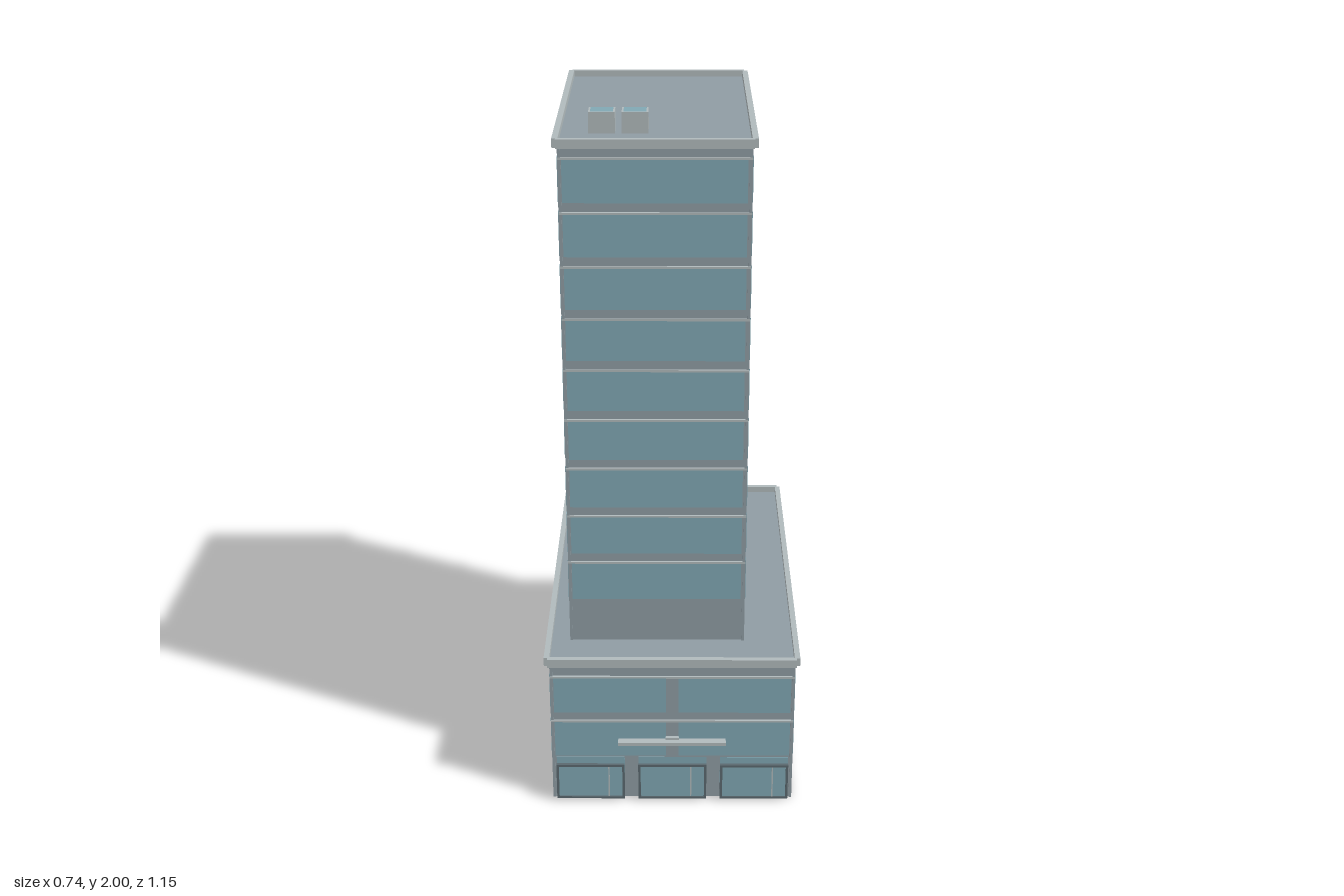
import * as THREE from 'three';

const material = (color) => new THREE.MeshStandardMaterial({ color });

export function createModel() {
  const model = new THREE.Group();
  const wall = material(0x8f9ca3);
  const glass = material(0x80a7b3);
  const trim = material(0xb0b9bb);
  const dark = material(0x5a686e);

  // Box given by its lower and upper corners
  function box(name, mat, x0, x1, y0, y1, z0, z1, parent = model) {
    const mesh = new THREE.Mesh(new THREE.BoxGeometry(x1 - x0, y1 - y0, z1 - z0), mat);
    mesh.position.set((x0 + x1) / 2, (y0 + y1) / 2, (z0 + z1) / 2);
    mesh.name = name;
    parent.add(mesh);
    return mesh;
  }

  function group(name) {
    const g = new THREE.Group();
    g.name = name;
    model.add(g);
    return g;
  }

  // Four roof-edge strips; the corners stay slightly notched
  function parapet(name, x0, x1, y0, y1, z0, z1) {
    const g = group(name);
    const t = 0.016, n = 0.01;
    for (const x of [x0, x1 - t]) box('parapetSide', trim, x, x + t, y0, y1, z0 + n, z1 - n, g);
    for (const z of [z0, z1 - t]) box('parapetEnd', trim, x0 + n, x1 - n, y0, y1, z, z + t, g);
  }

  const PROUD = 0.002;
  const STOREY = 0.149;

  // Podium and tower bodies
  const P = { x0: -0.353, x1: 0.353, z0: -0.562, z1: 0.55 };
  const T = { x0: -0.3, x1: 0.21, z0: -0.384, z1: 0.413 };
  box('podium', wall, P.x0, P.x1, 0, 0.457, P.z0, P.z1);
  box('tower', wall, T.x0, T.x1, 0.45, 1.942, T.z0, T.z1);
  parapet('podiumParapet', -0.369, 0.367, 0.45, 0.476, -0.576, 0.557);
  parapet('towerParapet', -0.314, 0.224, 1.935, 1.96, -0.4, 0.424);

  // Windows and thin ledges, storey by storey
  function facade(name, body, firstY, storeys, sideBays, endBays) {
    const g = group(name);
    for (let i = 0; i < storeys; i++) {
      const y0 = firstY + i * STOREY, y1 = y0 + 0.122;
      for (const [z0, z1] of sideBays) {
        box('sideWindow', glass, body.x1 - 0.01, body.x1 + PROUD, y0, y1, z0, z1, g);
        box('sideWindow', glass, body.x0 - PROUD, body.x0 + 0.01, y0, y1, z0, z1, g);
      }
      for (const [x0, x1] of endBays) {
        box('frontWindow', glass, x0, x1, y0, y1, body.z1 - 0.01, body.z1 + PROUD, g);
        box('backWindow', glass, x0, x1, y0, y1, body.z0 - PROUD, body.z0 + 0.01, g);
      }
      const ly = y0 + 0.118;
      box('frontLedge', trim, body.x0, body.x1, ly, ly + 0.006, body.z1, body.z1 + 0.006, g);
      box('backLedge', trim, body.x0, body.x1, ly, ly + 0.006, body.z0 - 0.006, body.z0, g);
    }
  }
  facade('towerFacade', T, 0.595, 9, [[0.038, 0.405], [-0.377, 0]], [[-0.29, 0.198]]);
  facade('podiumFacade', P, 0.146, 2,
    [[0.197, 0.54], [-0.175, 0.157], [-0.555, -0.205]],
    [[-0.343, -0.018], [0.018, 0.343]]);

  // Slim corner strips on the tower and podium fronts
  for (const [b, y0, y1] of [[T, 0.457, 1.935], [P, 0, 0.45]]) {
    box('cornerStrip', wall, b.x0, b.x0 + 0.008, y0, y1, b.z1, b.z1 + 0.004);
    box('cornerStrip', wall, b.x1 - 0.008, b.x1, y0, y1, b.z1, b.z1 + 0.004);
  }

  // Shopfront: three glazed bays with freestanding thin frames
  const shop = group('shopfront');
  for (const cx of [-0.24, 0, 0.24]) {
    const x0 = cx - 0.1, x1 = cx + 0.1, y0 = 0.01, y1 = 0.128, t = 0.007;
    const z0 = 0.566, z1 = 0.575;
    box('bayGlass', glass, x0, x1, y0, 0.14, P.z1 - 0.01, P.z1 + PROUD, shop);
    box('frameBottom', dark, x0, x1, y0, y0 + t, z0, z1, shop);
    box('frameTop', dark, x0, x1, y1 - t, y1, z0, z1, shop);
    for (const x of [x0, x1 - t]) box('framePost', dark, x, x + t, y0 + t, y1 - t, z0, z1, shop);
    box('pane', glass, x0 + t, x1 - t, y0 + t, y1 - t, 0.569, 0.572, shop);
    box('mullion', trim, cx + 0.052, cx + 0.056, y0 + t, y1 - t, 0.568, 0.574, shop);
  }

  // Entrance canopy
  box('canopy', trim, -0.158, 0.156, 0.195, 0.206, P.z1, 0.575);
  box('canopyBracket', trim, -0.02, 0.02, 0.206, 0.212, P.z1, 0.56);

  // Rooftop units with a glazed panel on top
  for (const x of [-0.224, -0.135]) {
    box('roofUnit', trim, x, x + 0.071, 1.94, 1.999, 0.232, 0.29);
    box('roofUnitPanel', glass, x + 0.005, x + 0.066, 1.99, 2, 0.237, 0.285);
  }

  return model;
}
